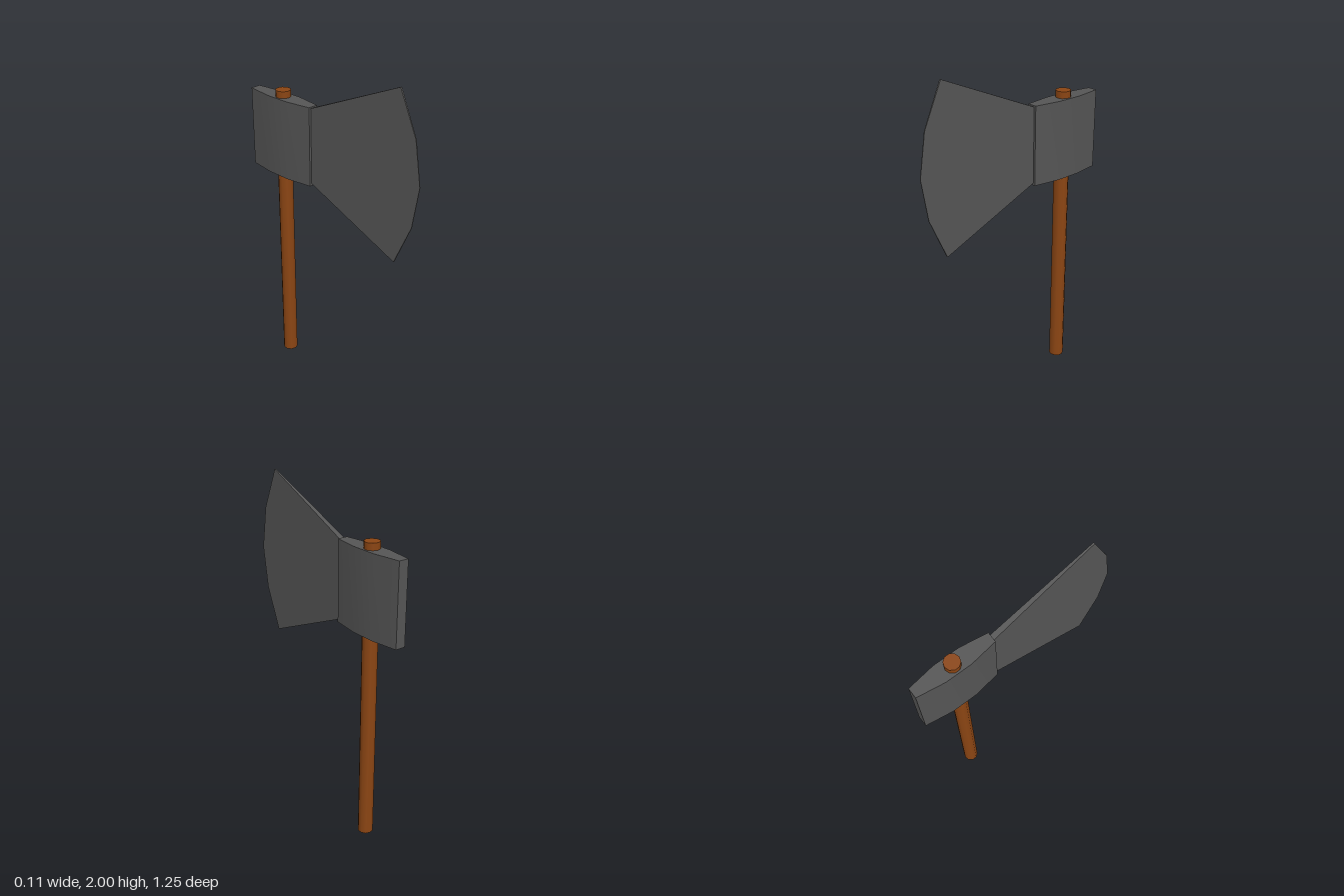
import * as THREE from 'three';
import { toCreasedNormals } from 'three/addons/utils/BufferGeometryUtils.js';

const shapeOf = (pts) => new THREE.Shape(pts.map(([a, b]) => new THREE.Vector2(a, b)));

export function createModel() {
  const wood = new THREE.MeshStandardMaterial({ color: 0x8b4513 });
  wood.name = 'brown wood';
  const steel = new THREE.MeshStandardMaterial({ color: 0x555555 });
  steel.name = 'grey steel';

  const model = new THREE.Group();
  model.name = 'axe';
  const add = (name, geometry, material) => {
    const mesh = new THREE.Mesh(geometry, material);
    mesh.name = name;
    model.add(mesh);
    return mesh;
  };

  const handleZ = -0.385;

  // Round handle running through the head
  add('handle', new THREE.CylinderGeometry(0.045, 0.045, 1.78, 10), wood)
    .position.set(0, 0.89, handleZ);

  // Head: plan outline bulging around the handle, extruded upwards
  const side = [[0.03, -0.24], [0.054, -0.077], [0.054, 0.077], [0.03, 0.24]];
  const outline = [...side, ...side.map(([x, z]) => [-x, z]).reverse()];
  const head = new THREE.ExtrudeGeometry(shapeOf(outline), { depth: 0.475, bevelEnabled: false });
  head.rotateX(-Math.PI / 2);
  add('head', toCreasedNormals(head, Math.PI / 6), steel).position.set(0, 1.265, handleZ);

  // Blade: side profile as (z, y), thinning evenly towards the cutting edge
  const profile = [[-0.15, 1.28], [0.475, 1.01], [0.585, 1.26], [0.625, 1.505],
    [0.585, 1.755], [0.475, 2.0], [-0.15, 1.73]];
  const blade = new THREE.ExtrudeGeometry(shapeOf(profile), { depth: 2, bevelEnabled: false });
  blade.translate(0, 0, -1).rotateY(-Math.PI / 2);
  const p = blade.attributes.position;
  for (let i = 0; i < p.count; i++) {
    const t = (p.getZ(i) + 0.15) / 0.775;
    p.setX(i, p.getX(i) * THREE.MathUtils.lerp(0.017, 0.002, t));
  }
  blade.computeVertexNormals();
  add('blade', blade, steel);

  return model;
}
